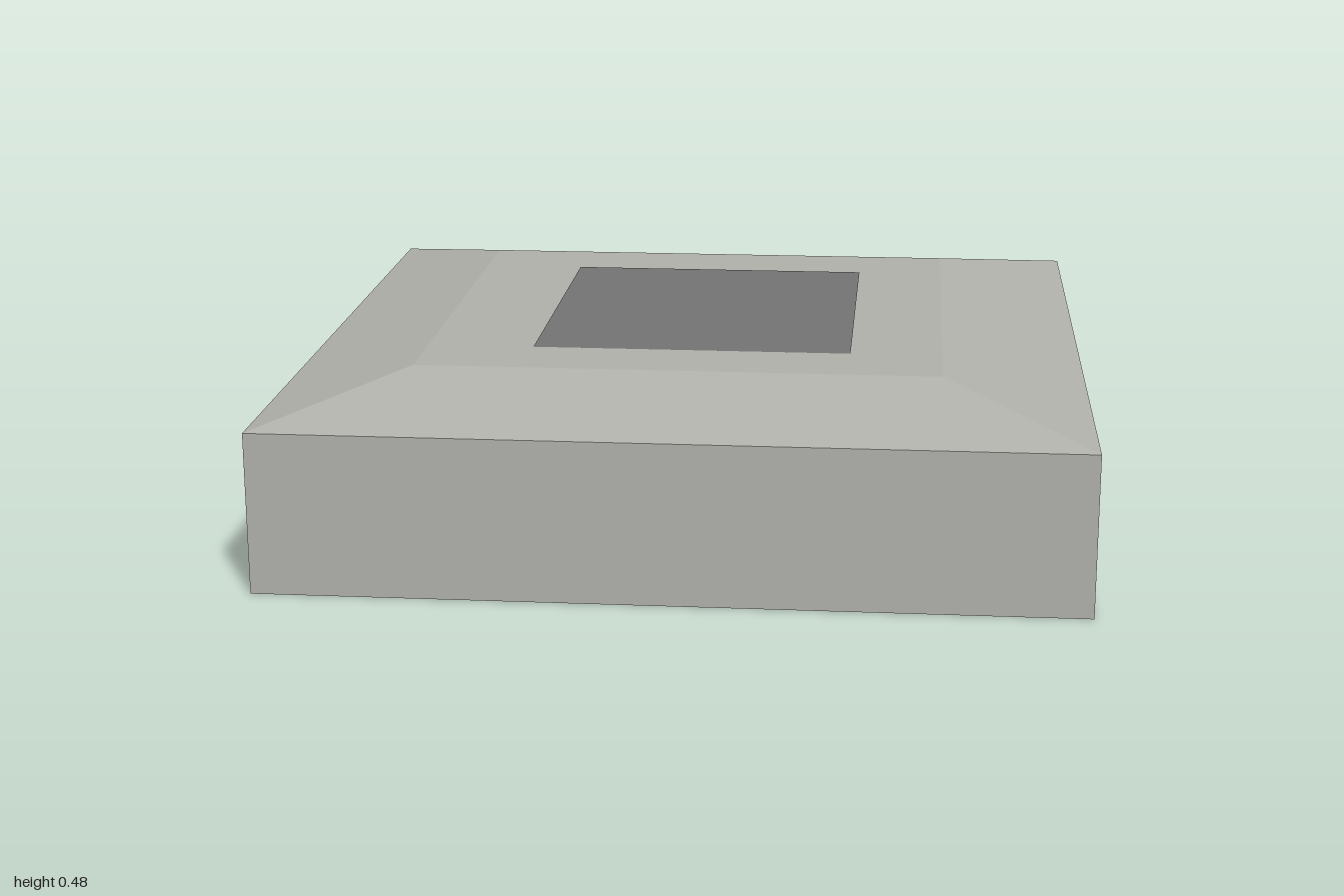
import * as THREE from 'three';

export function createModel() {
  const group = new THREE.Group();
  const stone = new THREE.MeshStandardMaterial({ name: 'paleStone', color: 0xb2b2ac });
  const panelGrey = new THREE.MeshStandardMaterial({ name: 'panelGrey', color: 0x747474 });
  const underside = new THREE.MeshStandardMaterial({ name: 'darkUnderside', color: 0x343635 });

  const add = (name, geometry, material, x, y, z) => {
    const mesh = new THREE.Mesh(geometry, material);
    mesh.name = name;
    mesh.position.set(x, y, z);
    group.add(mesh);
    return mesh;
  };

  // Square slab; its bottom face has the dark colour
  add('slab', new THREE.BoxGeometry(2, 0.4, 2),
    [stone, stone, stone, underside, stone, stone], 0, 0.2, 0);

  // Shallow bevelled cap: a box with its upper corners drawn inwards
  const cap = new THREE.BoxGeometry(2, 0.08, 2);
  const p = cap.attributes.position;
  for (let i = 0; i < p.count; i++) {
    if (p.getY(i) > 0) {
      p.setX(i, p.getX(i) > 0 ? 0.64 : -0.66);
      p.setZ(i, p.getZ(i) * 0.65);
    }
  }
  // Drop the hidden bottom face (box face order: +x, -x, +y, -y, +z, -z)
  const index = Array.from(cap.index.array);
  index.splice(18, 6);
  cap.setIndex(index);
  cap.clearGroups();
  cap.computeVertexNormals();
  add('bevelledCap', cap, stone, 0, 0.44, 0);

  // Flush grey panel on the cap
  const panel = new THREE.PlaneGeometry(0.8, 0.9).rotateX(-Math.PI / 2);
  add('topPanel', panel, panelGrey, 0.01, 0.482, 0.01);

  return group;
}
